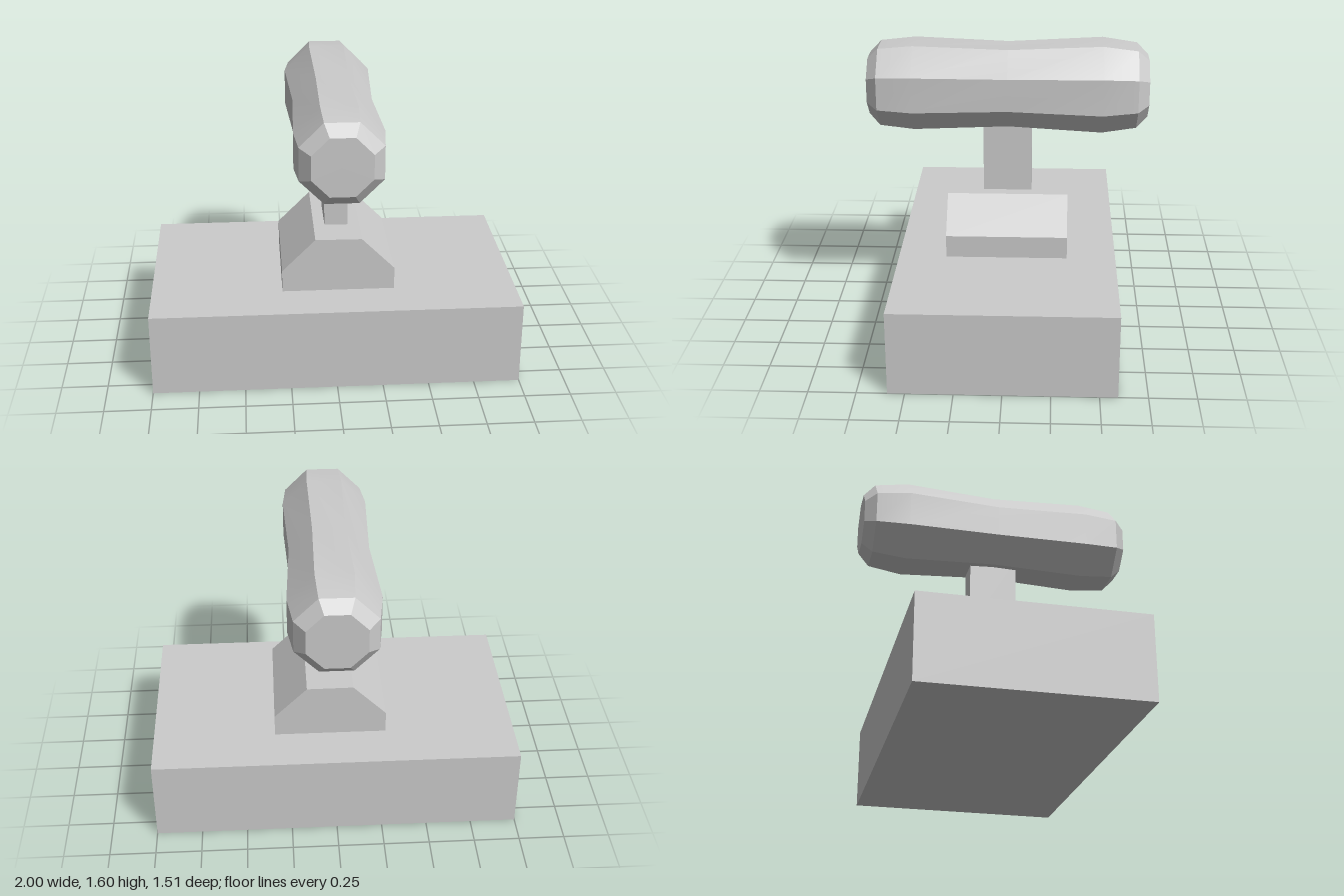
import * as THREE from 'three';
import { toCreasedNormals } from 'three/addons/utils/BufferGeometryUtils.js';

const material = new THREE.MeshStandardMaterial({ color: 0xcccccc });

export function createModel() {
  const group = new THREE.Group();
  const add = (name, geometry, x, y, z) => {
    const mesh = new THREE.Mesh(geometry, material);
    mesh.name = name;
    mesh.position.set(x, y, z);
    group.add(mesh);
  };

  // Heavy rectangular block
  add('base', new THREE.BoxGeometry(2, 0.46, 1.185), 0, 0.23, -0.0025);

  // Pedestal with two sloped shoulders, extruded front to back
  const outline = new THREE.Shape([
    [-0.285, 0.46], [0.33, 0.46], [0.33, 0.583],
    [0.15, 0.763], [-0.103, 0.765], [-0.285, 0.583],
  ].map(([x, y]) => new THREE.Vector2(x, y)));
  add('pedestal', new THREE.ExtrudeGeometry(outline, { depth: 0.66, bevelEnabled: false }), 0, 0, -0.33);

  // Post, running a little into the handle and leaning slightly
  const post = new THREE.BoxGeometry(0.128, 0.44, 0.265);
  post.rotateZ(0.012);
  add('post', post, 0.02, 0.975, 0.002);

  // Octagonal grip: [distance from axis to flat, z], bulging near both ends
  const profile = [
    [0, -0.757], [0.156, -0.757], [0.215, -0.696], [0.241, -0.51], [0.215, 0],
    [0.234, 0.51], [0.215, 0.698], [0.156, 0.757], [0, 0.757],
  ].map(([r, z]) => new THREE.Vector2(r / Math.cos(Math.PI / 8), z));
  const grip = new THREE.LatheGeometry(profile, 8, Math.PI / 8);
  grip.rotateX(Math.PI / 2);
  add('handle', toCreasedNormals(grip, 0.5), 0.011, 1.356, 0);

  return group;
}
